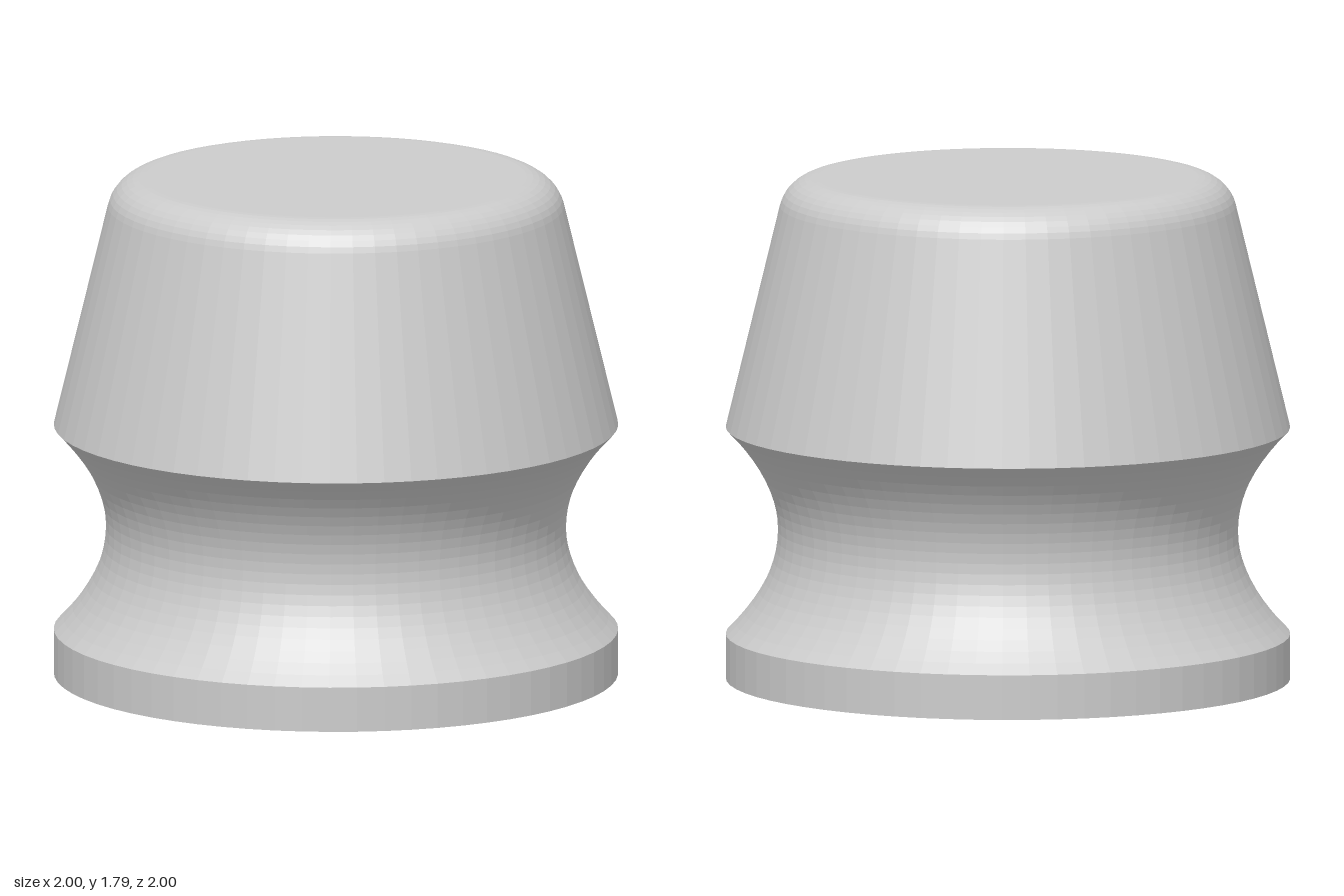
import * as THREE from 'three';

const SIDES = 64;

export function createModel() {
  const model = new THREE.Group();
  const material = new THREE.MeshStandardMaterial({ color: 0xcccccc, flatShading: true });

  const addTurned = (name, points) => {
    const mesh = new THREE.Mesh(new THREE.LatheGeometry(points, SIDES), material);
    mesh.name = name;
    model.add(mesh);
  };
  const v = (x, y) => new THREE.Vector2(x, y);

  // Flat underside and straight rim
  addTurned('base', [v(0, 0), v(1, 0), v(1, 0.16)]);

  // Concave waist
  const waist = new THREE.QuadraticBezierCurve(v(1, 0.16), v(0.63, 0.53), v(1, 0.9));
  addTurned('waist', waist.getPoints(20));

  // Tapered head with a rounded top edge and flat top
  const cap = [v(1, 0.9)];
  const radius = 0.135, start = THREE.MathUtils.degToRad(13.5);
  for (let i = 0; i <= 8; i++) {
    const a = start + (Math.PI / 2 - start) * (i / 8);
    cap.push(v(0.677 + radius * Math.cos(a), 1.66 + radius * Math.sin(a)));
  }
  cap.push(v(0, 1.795));
  addTurned('head', cap);

  return model;
}
